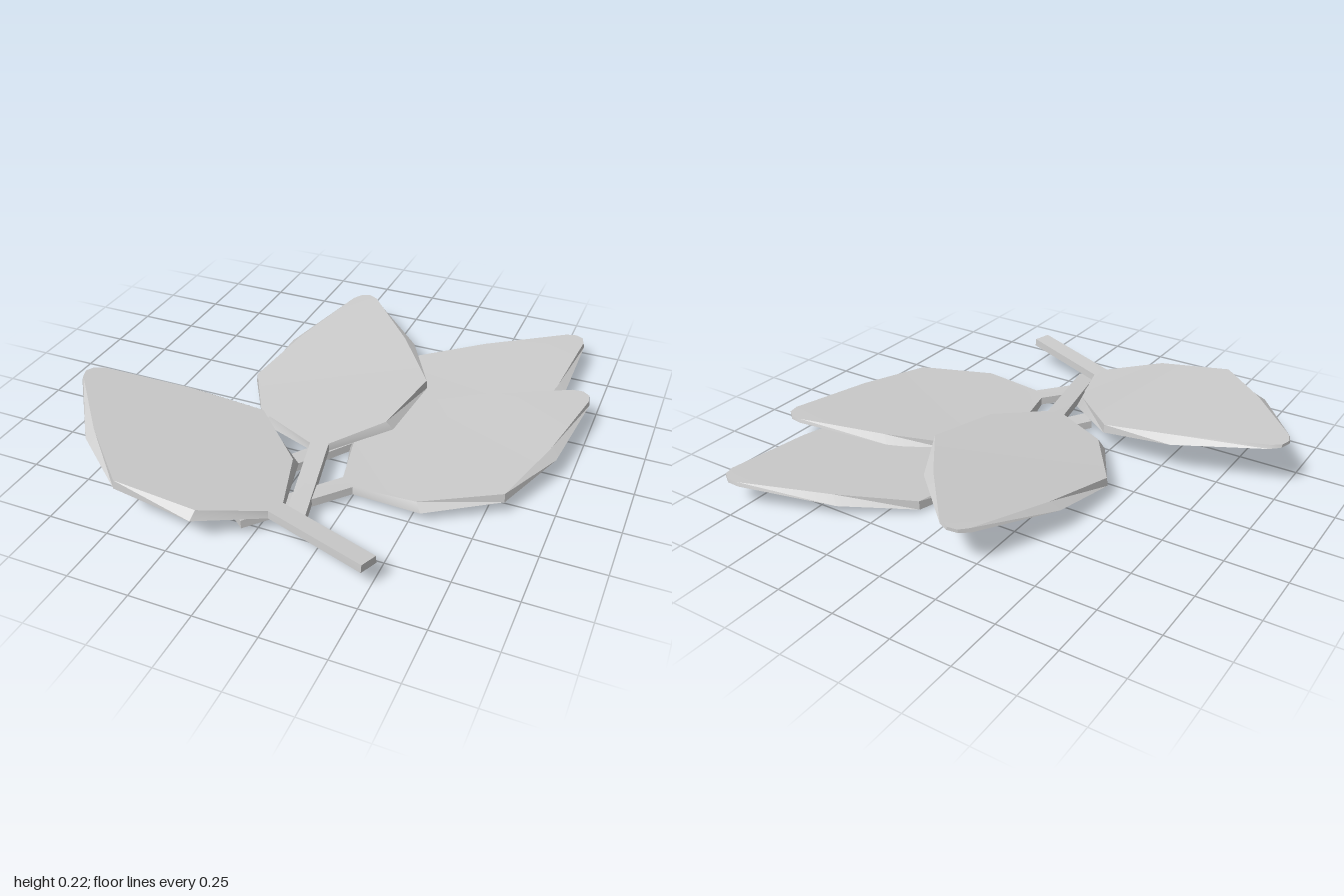
import * as THREE from 'three';
import { toCreasedNormals } from 'three/addons/utils/BufferGeometryUtils.js';

// Leaf cross-sections: distance from leaf base, half width below, half width on top, thickness
const sections = [
  [-0.46, 0.04, 0.037, 0.033],
  [0, 0.04, 0.038, 0.033],
  [0.16, 0.275, 0.245, 0.036],
  [0.465, 0.378, 0.374, 0.036],
  [0.77, 0.282, 0.24, 0.028],
  [1.10, 0.062, 0.055, 0.016],
  [1.13, 0.024, 0.02, 0.014],
];

// Leaf slab with its stem, lofted from base towards tip; heights = underside at [stem end, base, middle, tip]
function leafGeometry(base, tip, heights, roll) {
  const dir = new THREE.Vector2(tip[0] - base[0], tip[1] - base[1]).normalize();
  const stops = [-0.46, 0, 0.465, 1.13];
  const heightAt = (u) => {
    const k = u < 0 ? 0 : u < 0.465 ? 1 : 2;
    return THREE.MathUtils.mapLinear(u, stops[k], stops[k + 1], heights[k], heights[k + 1]);
  };
  const positions = [];
  const index = [];
  const quad = (a, b, c, d) => index.push(a, b, c, a, c, d);

  sections.forEach(([u, low, high, thick], i) => {
    const y = heightAt(u);
    // Corners: top left, top right, bottom right, bottom left
    for (const [v, lift] of [[-high, thick], [high, thick], [low, 0], [-low, 0]]) {
      positions.push(base[0] + dir.x * u - dir.y * v, y + lift + roll * v, base[1] + dir.y * u + dir.x * v);
    }
    if (i === 0) return;
    const a = (i - 1) * 4;
    const b = i * 4;
    for (let k = 0; k < 4; k++) {
      const n = (k + 1) % 4;
      quad(a + k, a + n, b + n, b + k);
    }
  });
  // End caps of stem and tip
  quad(0, 3, 2, 1);
  const e = (sections.length - 1) * 4;
  quad(e, e + 1, e + 2, e + 3);

  const geometry = new THREE.BufferGeometry();
  geometry.setAttribute('position', new THREE.Float32BufferAttribute(positions, 3));
  geometry.setIndex(index);
  return toCreasedNormals(geometry, 0.5);
}

export function createModel() {
  const group = new THREE.Group();
  group.name = 'leafCluster';
  const material = new THREE.MeshStandardMaterial({ color: 0xcccccc });

  // Four overlapping leaves, lowest first
  const leaves = [
    { name: 'backLeaf', base: [0.196, 0.011], tip: [0.82, -0.93], heights: [0.01, 0.005, 0.03, 0.105], roll: 0.05 },
    { name: 'leftLeaf', base: [0.23, 0.44], tip: [0.95, -0.42], heights: [0.035, 0.03, 0.05, 0.125], roll: 0.04 },
    { name: 'middleLeaf', base: [0.04, 0.28], tip: [-0.2, -0.82], heights: [0.035, 0.055, 0.08, 0.165], roll: 0.07 },
    { name: 'rightLeaf', base: [0.065, 0.73], tip: [-1.0, 0.33], heights: [0.093, 0.07, 0.125, 0.205], roll: -0.066 },
  ];
  for (const { name, base, tip, heights, roll } of leaves) {
    const mesh = new THREE.Mesh(leafGeometry(base, tip, heights, roll), material);
    mesh.name = name;
    group.add(mesh);
  }
  return group;
}
